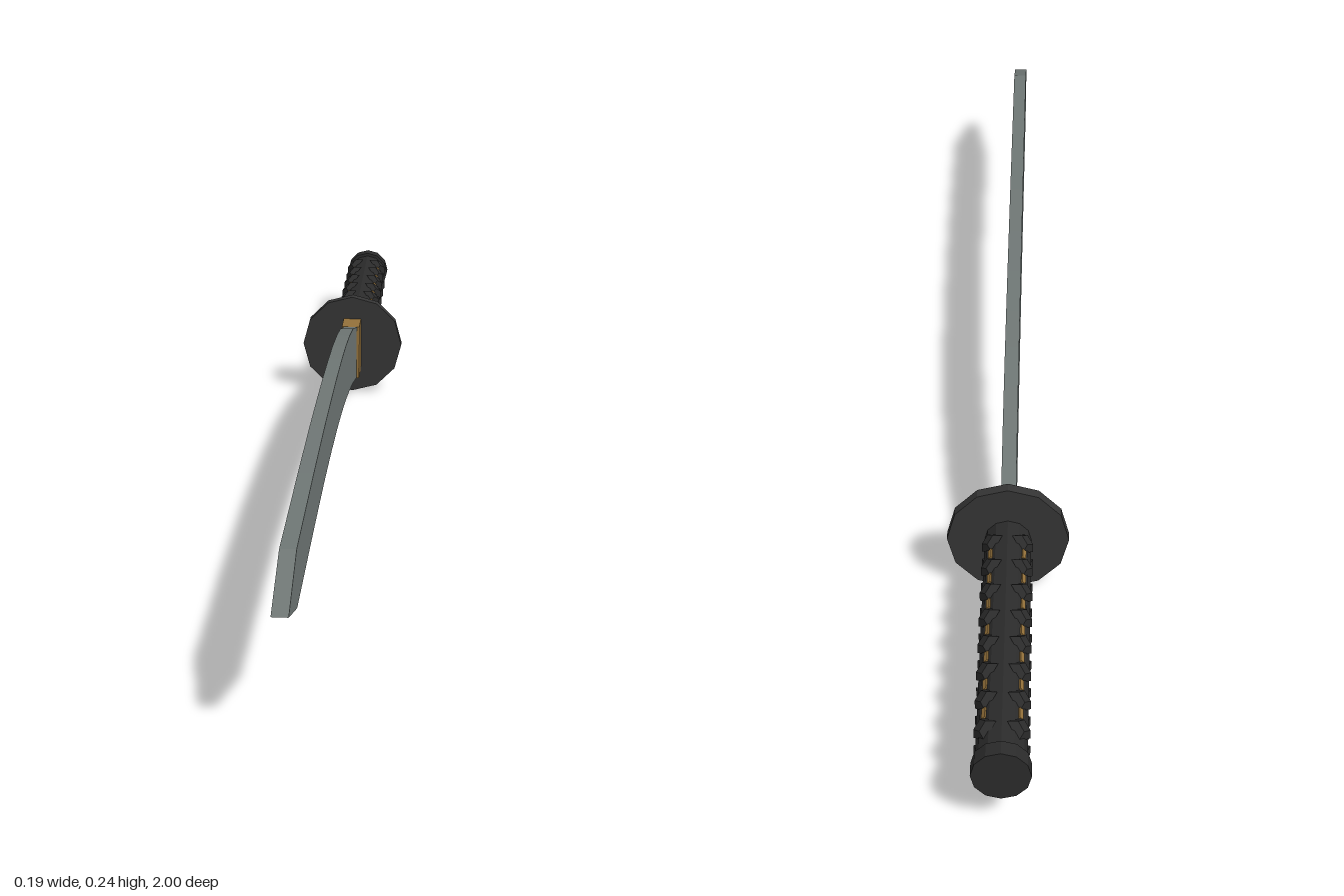
import * as THREE from 'three';

const paint = (name, color) => {
  const m = new THREE.MeshStandardMaterial({ color, flatShading: true });
  m.name = name;
  return m;
};

export function createModel() {
  const steel = paint('steel', 0x6f7775);
  const brass = paint('brass', 0x94713a);
  const iron = paint('iron', 0x353535);
  const cord = paint('cord', 0x2b2b2b);

  const sword = new THREE.Group();
  sword.name = 'sword';
  const add = (name, geometry, material, parent = sword) => {
    const mesh = new THREE.Mesh(geometry, material);
    mesh.name = name;
    parent.add(mesh);
    return mesh;
  };
  const axisY = 0.098;

  // Faceted disc or rod lying along z
  const rod = (name, radius, z0, z1, material) => {
    const g = new THREE.CylinderGeometry(radius, radius, z1 - z0, 12).rotateX(Math.PI / 2);
    add(name, g, material).position.set(0, axisY, (z0 + z1) / 2);
  };

  // Curved blade: side outline (z, y) extruded across x
  const spine = [[-0.41, 0.15], [-0.3, 0.182], [-0.2, 0.2], [-0.1, 0.213], [0, 0.222],
    [0.12, 0.23], [0.25, 0.236], [0.4, 0.241], [0.6, 0.244], [0.88, 0.245]];
  const edge = [[0.88, 0.157], [0.6, 0.155], [0.4, 0.151], [0.25, 0.144], [0.12, 0.135],
    [0, 0.123], [-0.1, 0.11], [-0.2, 0.093], [-0.3, 0.073], [-0.41, 0.046]];
  const outline = [...spine, [1, 0.2], ...edge].map(([z, y]) => new THREE.Vector2(z, y));
  const blade = new THREE.ExtrudeGeometry(new THREE.Shape(outline), { depth: 0.024, bevelEnabled: false });
  blade.translate(0, 0, -0.012).rotateY(-Math.PI / 2);
  add('blade', blade, steel);

  // Collar and guard
  add('bladeCollar', new THREE.BoxGeometry(0.034, 0.105, 0.055), brass).position.set(0, 0.098, -0.4375);
  rod('guard', 0.097, -0.48, -0.462, iron);

  // Grip and pommel
  rod('grip', 0.037, -0.98, -0.475, cord);
  rod('pommel', 0.043, -1, -0.975, cord);

  // Wrap crossings along the four diagonals, with brass showing between them
  const knot = new THREE.CylinderGeometry(0.012, 0.023, 0.011, 4);
  const inlay = new THREE.BoxGeometry(0.007, 0.003, 0.02);
  for (let side = 0; side < 4; side++) {
    const row = new THREE.Group();
    row.name = 'wrapRow';
    row.position.y = axisY;
    row.rotation.z = Math.PI / 4 + side * Math.PI / 2;
    sword.add(row);
    for (let i = 0; i < 8; i++) {
      const z = -0.52 - i * 0.059;
      add('wrapCrossing', knot, cord, row).position.set(0, 0.039, z);
      if (i < 7) add('brassInlay', inlay, brass, row).position.set(0, 0.037, z - 0.0295);
    }
  }
  return sword;
}
